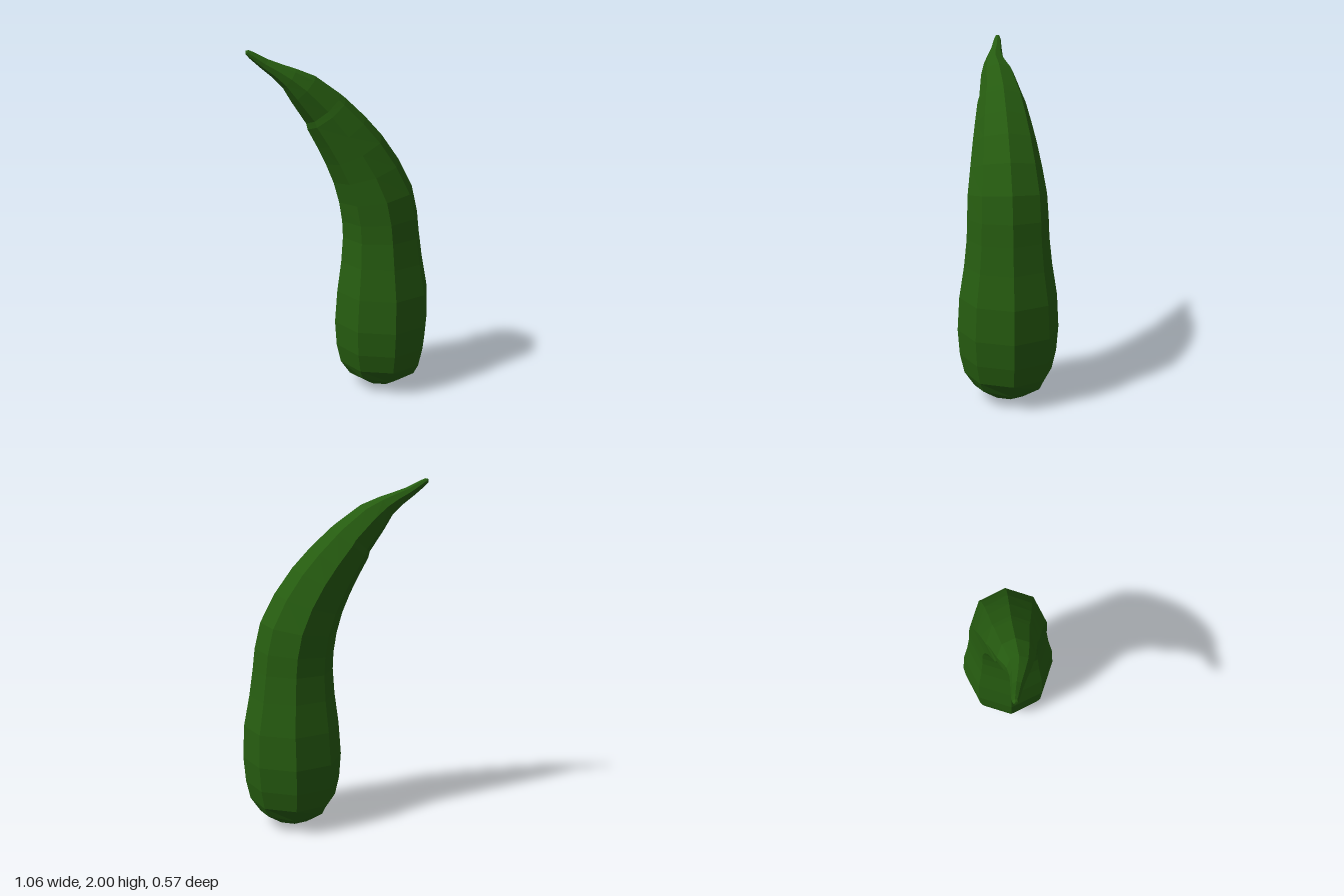
import * as THREE from 'three';

const SIDES = 8;

// Cross-sections: [centre x, centre y, centre z, radius, tilt of the ring]
const bodyRings = [
  [0.24, 0.003, 0, 0, 0],
  [0.24, 0.022, 0, 0.105, 0],
  [0.24, 0.072, 0, 0.193, 0],
  [0.24, 0.155, 0, 0.25, 0],
  [0.24, 0.265, 0, 0.275, 0],
  [0.241, 0.41, 0, 0.286, 0],
  [0.244, 0.6, 0, 0.275, 0],
  [0.239, 0.78, 0, 0.246, 0],
  [0.233, 0.93, 0, 0.23, 0.02],
  [0.224, 1.04, 0, 0.226, 0.07],
  [0.198, 1.17, 0, 0.22, 0.16],
  [0.14, 1.31, 0, 0.2, 0.3],
  [0.068, 1.435, 0, 0.18, 0.44],
  [-0.005, 1.538, 0, 0.16, 0.55],
  [-0.09, 1.645, 0, 0.137, 0.65],
  [-0.11, 1.675, 0, 0.125, 0.69],
  [-0.222, 1.787, 0.008, 0.096, 0.8],
  [-0.3, 1.848, 0.016, 0.063, 0.95],
];
const stemRings = [
  [-0.3, 1.848, 0.016, 0.063, 0.95],
  [-0.36, 1.887, 0.008, 0.045, 0.88],
  [-0.43, 1.927, -0.008, 0.031, 0.88],
  [-0.495, 1.972, -0.02, 0.021, 0.88],
  [-0.521, 1.99, -0.024, 0.014, 0.88],
  [-0.528, 1.997, -0.025, 0, 0.88],
];

function ringPoint([cx, cy, cz, r, tilt], i, lobed) {
  const a = (i / SIDES) * Math.PI * 2;
  const diagonal = i % 2 === 1 && lobed;
  const rad = r * (diagonal ? 1.14 : 1);
  const across = Math.cos(a) * rad;
  return [
    cx + across * Math.cos(tilt),
    cy + across * Math.sin(tilt) + (diagonal ? 0.026 : 0),
    cz + Math.sin(a) * rad,
  ];
}

// Skin of flat facets between successive rings
function loft(rings, lobedRing = -1) {
  const pos = [];
  for (let j = 0; j < rings.length - 1; j++) {
    for (let i = 0; i < SIDES; i++) {
      const k = (i + 1) % SIDES;
      const a = ringPoint(rings[j], i, j === lobedRing);
      const b = ringPoint(rings[j + 1], i, j + 1 === lobedRing);
      const c = ringPoint(rings[j + 1], k, j + 1 === lobedRing);
      const d = ringPoint(rings[j], k, j === lobedRing);
      if (rings[j + 1][3] > 0) pos.push(...a, ...b, ...c);
      else pos.push(...a, ...b, ...d);
      if (rings[j][3] > 0 && rings[j + 1][3] > 0) pos.push(...a, ...c, ...d);
    }
  }
  const geo = new THREE.BufferGeometry();
  geo.setAttribute('position', new THREE.Float32BufferAttribute(pos, 3));
  geo.computeVertexNormals();
  return geo;
}

export function createModel() {
  const group = new THREE.Group();
  group.name = 'vegetable';
  const green = new THREE.MeshStandardMaterial({ color: 0x265c10 });
  green.name = 'deep green';
  green.flatShading = true;

  // Curved ribbed body with a lobed underside
  const body = new THREE.Mesh(loft(bodyRings, 2), green);
  body.name = 'body';

  // Thin pointed stem
  const stem = new THREE.Mesh(loft(stemRings), green);
  stem.name = 'stem';

  group.add(body, stem);
  return group;
}
